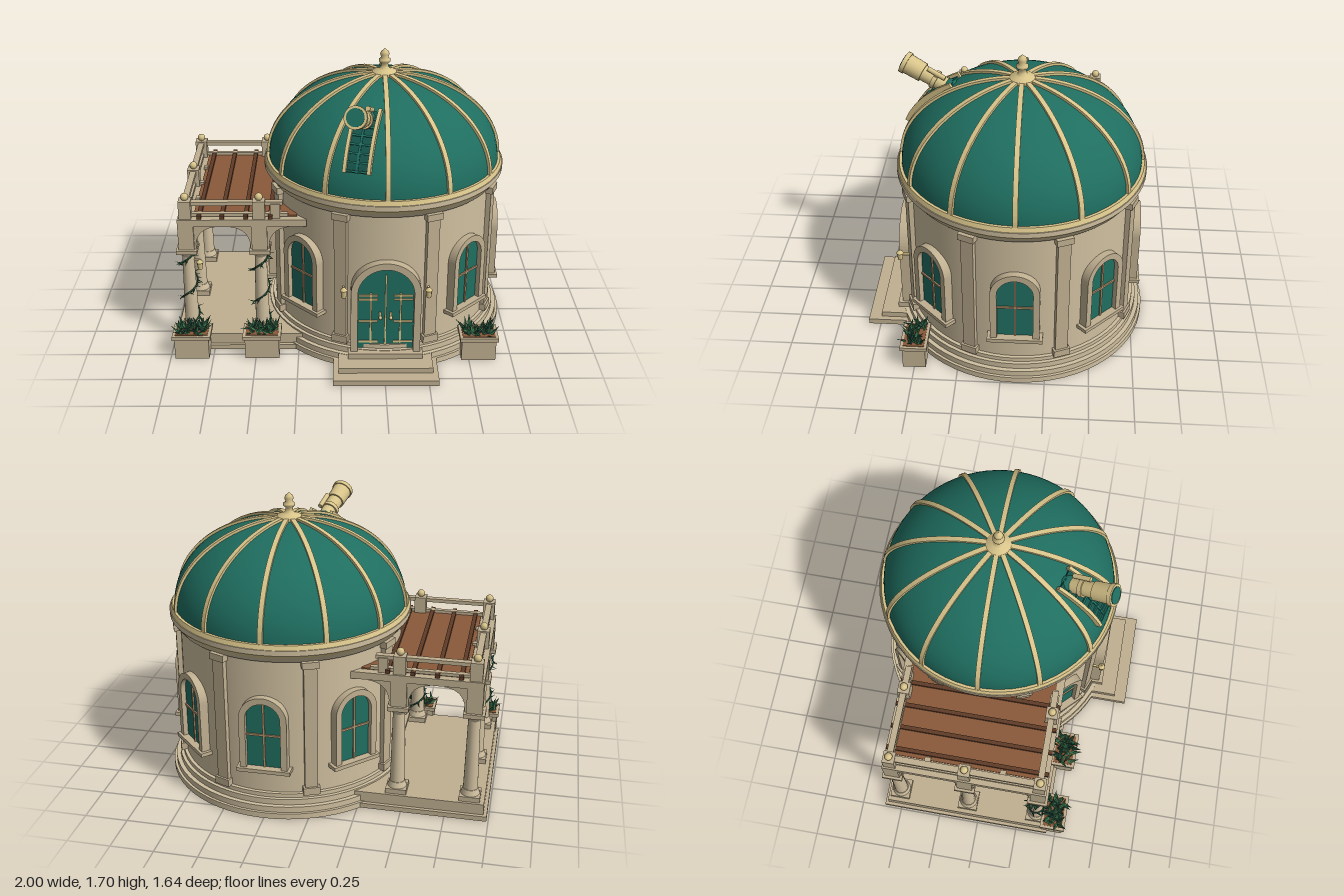
import * as THREE from 'three';

const mat = (name, color, side = THREE.FrontSide) => {
  const m = new THREE.MeshStandardMaterial({ color, side });
  m.name = name;
  return m;
};
const CX = 0.255, CZ = -0.08; // tower axis

export function createModel() {
  const stone = mat('wallStone', 0xcfbf9f), trim = mat('trimStone', 0xc0b091), gold = mat('paleGold', 0xd8c48a);
  const teal = mat('teal', 0x1f6e60), darkTeal = mat('darkTeal', 0x15544b), wood = mat('wood', 0x8a5a3a);
  const darkWood = mat('darkWood', 0x5f3b28), bronze = mat('bronze', 0xb4946e);
  const leaf = mat('leafGreen', 0x418258), darkLeaf = mat('darkLeafGreen', 0x2b5a45);
  const root = new THREE.Group();
  root.name = 'observatory';

  let seed = 7;
  const rnd = () => (seed = (seed * 16807) % 2147483647) / 2147483647;
  const group = (name, parent = root, x = 0, y = 0, z = 0, ry = 0) => {
    const g = new THREE.Group();
    g.name = name;
    g.position.set(x, y, z);
    g.rotation.y = ry;
    parent.add(g);
    return g;
  };
  const add = (p, name, geo, m, x = 0, y = 0, z = 0) => {
    const o = new THREE.Mesh(geo, m);
    o.name = name;
    o.position.set(x, y, z);
    p.add(o);
    return o;
  };
  // box given by its min and max corners
  const box = (p, name, m, x0, x1, y0, y1, z0, z1) =>
    add(p, name, new THREE.BoxGeometry(x1 - x0, y1 - y0, z1 - z0), m, (x0 + x1) / 2, (y0 + y1) / 2, (z0 + z1) / 2);
  const cyl = (p, name, m, r0, r1, y0, y1, x = 0, z = 0, n = 20) =>
    add(p, name, new THREE.CylinderGeometry(r1, r0, y1 - y0, n), m, x, (y0 + y1) / 2, z);
  const lathe = (p, name, m, pts, n = 64) =>
    add(p, name, new THREE.LatheGeometry(pts.map(q => new THREE.Vector2(...q)), n), m);
  const extrude = (shape, depth) =>
    new THREE.ExtrudeGeometry(shape, { depth, bevelEnabled: false, curveSegments: 16 });
  // round-headed opening: half width w, bottom y0, springing y1
  const arch = (C, w, y0, y1) => {
    const s = new C();
    s.moveTo(-w, y0);
    s.lineTo(w, y0);
    s.lineTo(w, y1);
    s.absarc(0, y1, w, 0, Math.PI, false);
    s.lineTo(-w, y0);
    return s;
  };

  // --- Tower body ---
  const tower = group('tower', root, CX, 0, CZ);
  const tiers = [[0.74, 0, 0.035], [0.725, 0.035, 0.07], [0.7, 0.07, 0.105], [0.68, 0.105, 0.13]];
  tiers.forEach(([r, a, b]) => cyl(tower, 'plinthTier', stone, r, r, a, b, 0, 0, 64));
  cyl(tower, 'wall', stone, 0.66, 0.655, 0.13, 0.98, 0, 0, 64);
  cyl(tower, 'corniceNeck', stone, 0.67, 0.695, 0.95, 0.985, 0, 0, 64);
  cyl(tower, 'cornice', gold, 0.695, 0.71, 0.985, 1.005, 0, 0, 64);
  cyl(tower, 'corniceBand', stone, 0.71, 0.71, 1.005, 1.035, 0, 0, 64);
  cyl(tower, 'domeRing', gold, 0.705, 0.695, 1.035, 1.06, 0, 0, 64);

  for (let i = 0; i < 8; i++) {
    const a = i * Math.PI / 4;
    const p = group('pilaster', tower, 0, 0, 0, a + Math.PI / 8);
    box(p, 'pilasterShaft', trim, -0.037, 0.037, 0.13, 0.95, 0.63, 0.683);
    box(p, 'pilasterBase', trim, -0.048, 0.048, 0.125, 0.17, 0.63, 0.695);
    box(p, 'pilasterCapital', trim, -0.048, 0.048, 0.915, 0.955, 0.63, 0.695);
    if (i === 0) continue;
    const w = group('window', tower, 0, 0, 0, a);
    const s = arch(THREE.Shape, 0.137, 0.28, 0.6);
    s.holes.push(arch(THREE.Path, 0.1, 0.29, 0.6));
    add(w, 'windowFrame', extrude(s, 0.075), trim, 0, 0, 0.62);
    add(w, 'windowGlass', extrude(arch(THREE.Shape, 0.102, 0.285, 0.6), 0.006), teal, 0, 0, 0.66);
    box(w, 'windowSill', trim, -0.155, 0.155, 0.272, 0.295, 0.62, 0.71);
    box(w, 'windowMullion', bronze, -0.006, 0.006, 0.29, 0.7, 0.662, 0.674);
    box(w, 'windowBar', bronze, -0.1, 0.1, 0.49, 0.502, 0.662, 0.674);
  }

  // --- Entrance ---
  const door = group('entrance', tower);
  const ds = arch(THREE.Shape, 0.2, 0.1, 0.48);
  ds.holes.push(arch(THREE.Path, 0.16, 0.102, 0.48));
  add(door, 'doorFrame', extrude(ds, 0.105), trim, 0, 0, 0.6);
  add(door, 'doorLeaves', extrude(arch(THREE.Shape, 0.162, 0.102, 0.48), 0.008), teal, 0, 0, 0.66);
  box(door, 'doorSeam', gold, -0.005, 0.005, 0.12, 0.59, 0.665, 0.675);
  for (const s of [-1, 1]) {
    const bar = (x, y, w, h) => add(door, 'doorStrap', new THREE.BoxGeometry(w, h, 0.008), gold, s * x, y, 0.671);
    bar(0.085, 0.305, 0.01, 0.33);
    [0.455, 0.43, 0.285, 0.15].forEach(y => bar(0.1, y, 0.11, 0.011));
    bar(0.03, 0.32, 0.014, 0.05);
    add(door, 'doorKnob', new THREE.SphereGeometry(0.011, 10, 8), gold, s * 0.03, 0.315, 0.683);
    // wall lanterns beside the door
    const l = group('wallLantern', door, s * 0.24, 0.49, 0.66);
    cyl(l, 'lanternBody', gold, 0.014, 0.018, -0.03, 0.015, 0, 0.035, 8);
    cyl(l, 'lanternCap', gold, 0.022, 0.004, 0.015, 0.035, 0, 0.035, 8);
    box(l, 'lanternArm', gold, -0.006, 0.006, 0, 0.012, -0.06, 0.035);
  }
  [[0.3, 0.82, 0.035], [0.27, 0.745, 0.068], [0.215, 0.65, 0.102]].forEach(([w, z, y]) =>
    box(root, 'entranceStep', trim, CX - w, CX + w, y - 0.034, y, 0.4, z));

  // --- Dome with ribs ---
  const RA = 0.68, RB = 0.5, Y0 = 1.05;
  const ell = (t, o) => [(RA + o) * Math.cos(t), Y0 + (RB + o) * Math.sin(t)];
  const profile = [];
  for (let i = 0; i <= 24; i++) profile.push(ell(i / 24 * Math.PI / 2, 0));
  profile[24][0] = 0.0001;
  lathe(tower, 'dome', teal, profile);
  // curved strip lying on the dome
  const strip = (p, name, m, t0, t1, o0, o1, width, off = 0) => {
    const pts = [], n = 20;
    for (let i = 0; i <= n; i++) pts.push(new THREE.Vector2(...ell(t0 + (t1 - t0) * i / n, o1)));
    for (let i = n; i >= 0; i--) pts.push(new THREE.Vector2(...ell(t0 + (t1 - t0) * i / n, o0)));
    return add(p, name, extrude(new THREE.Shape(pts), width), m, 0, 0, off - width / 2);
  };
  for (let i = 0; i < 12; i++)
    strip(group('ribArm', tower, 0, 0, 0, i * Math.PI / 6), 'domeRib', gold, 0, 1.52, -0.02, 0.014, 0.028);
  lathe(tower, 'finial', gold, [[0.075, 1.545], [0.07, 1.565], [0.035, 1.575], [0.022, 1.59], [0.02, 1.61], [0.034, 1.622],
    [0.034, 1.635], [0.02, 1.645], [0.027, 1.665], [0.022, 1.68], [0.01, 1.69], [0.0001, 1.7]], 20);

  // --- Observation slot and telescope ---
  const SA = -Math.PI / 12;
  const slot = group('observationSlot', tower, 0, 0, 0, SA - Math.PI / 2);
  strip(slot, 'slotPanel', darkTeal, 0.3, 0.95, -0.03, 0.01, 0.13);
  for (const s of [-1, 1]) strip(slot, 'slotRail', gold, 0.3, 0.97, -0.03, 0.028, 0.02, s * 0.068);
  for (let i = 0; i < 7; i++) strip(slot, 'slotRung', teal, 0.31 + i * 0.09, 0.33 + i * 0.09, 0, 0.02, 0.125);
  strip(slot, 'slotSpine', teal, 0.3, 0.95, 0, 0.017, 0.012);
  const aim = group('telescopeMount', tower, 0, 0, 0, SA);
  const scope = group('telescope', aim, 0, 1.41, 0.41);
  scope.rotation.x = Math.PI / 2 - 0.42;
  cyl(scope, 'telescopeTube', gold, 0.042, 0.046, -0.06, 0.2);
  cyl(scope, 'telescopeCollar', gold, 0.054, 0.054, 0.1, 0.125);
  cyl(scope, 'telescopeBarrel', gold, 0.055, 0.058, 0.19, 0.3);
  cyl(scope, 'telescopeRim', gold, 0.064, 0.064, 0.29, 0.315);
  cyl(scope, 'telescopeLens', teal, 0.05, 0.05, 0.3, 0.319);
  cyl(scope, 'finderTube', gold, 0.014, 0.014, 0.06, 0.17, 0.03, -0.06, 12);
  box(scope, 'finderBracket', gold, 0.02, 0.036, 0.1, 0.12, -0.06, -0.02);
  add(aim, 'telescopePivot', new THREE.SphereGeometry(0.06, 16, 12), teal, 0, 1.41, 0.42);

  // --- Terrace and pergola ---
  const terrace = group('terrace');
  box(terrace, 'terraceBase', trim, -0.99, 0, 0, 0.03, -0.605, 0.445);
  box(terrace, 'terraceFloor', trim, -0.97, 0, 0.03, 0.095, -0.585, 0.425);
  const pergola = group('pergola');
  const bs = new THREE.Shape();
  bs.moveTo(0, 0);
  bs.lineTo(0.055, 0);
  bs.lineTo(0.055, 0.04);
  bs.quadraticCurveTo(0.07, 0.135, 0.17, 0.145);
  bs.lineTo(0.17, 0.16);
  bs.lineTo(0, 0.16);
  const bracketGeo = extrude(bs, 0.06).translate(0, 0, -0.03);
  const XL = -0.885, XR = -0.465, ZB = -0.51, ZM = -0.075, ZF = 0.36, H = Math.PI / 2;
  // column positions with the directions of their brackets
  const columns = [[XL, ZB, [0, 3]], [XL, ZM, [1, 3]], [XL, ZF, [0, 1]], [XR, ZB, [0, 2]], [XR, ZF, [0, 2]]];
  columns.forEach(([x, z, dirs]) => {
    const c = group('column', pergola, x, 0, z);
    box(c, 'columnFoot', trim, -0.06, 0.06, 0.09, 0.125, -0.06, 0.06);
    cyl(c, 'columnBase', stone, 0.055, 0.045, 0.125, 0.16);
    cyl(c, 'columnShaft', stone, 0.042, 0.034, 0.16, 0.6);
    cyl(c, 'columnNeck', stone, 0.036, 0.055, 0.595, 0.63);
    box(c, 'columnCapital', trim, -0.06, 0.06, 0.625, 0.65, -0.06, 0.06);
    box(c, 'columnBlock', trim, -0.045, 0.045, 0.65, 0.805, -0.045, 0.045);
    dirs.forEach(d => { add(c, 'archBracket', bracketGeo, trim, 0, 0.645, 0).rotation.y = d * H; });
    box(c, 'railPost', trim, -0.035, 0.035, 0.835, 0.95, -0.035, 0.035);
    add(c, 'postBall', new THREE.SphereGeometry(0.023, 14, 10), gold, 0, 0.968, 0);
  });
  for (const z of [ZB, ZF]) {
    box(pergola, 'sideBeam', trim, -0.93, -0.195, 0.8, 0.842, z - 0.045, z + 0.045);
    box(pergola, 'topRail', trim, XL, -0.33, 0.92, 0.942, z - 0.018, z + 0.018);
    box(pergola, 'lowRail', trim, XL, -0.3, 0.85, 0.868, z - 0.014, z + 0.014);
    box(pergola, 'endPost', trim, -0.4, -0.345, 0.84, 0.93, z - 0.025, z + 0.025);
  }
  box(pergola, 'outerBeam', trim, -0.93, -0.835, 0.8, 0.842, ZB, ZF);
  box(pergola, 'outerTopRail', trim, XL - 0.018, XL + 0.018, 0.92, 0.942, ZB, ZF);
  box(pergola, 'outerLowRail', trim, XL - 0.014, XL + 0.014, 0.85, 0.868, ZB, ZF);
  box(pergola, 'roofDeck', wood, -0.84, -0.25, 0.82, 0.85, ZB, ZF);
  [-0.805, -0.675, -0.54, -0.4].forEach(x => box(pergola, 'roofBeam', darkWood, x - 0.012, x + 0.012, 0.845, 0.866, ZB - 0.04, ZF + 0.04));
  [-0.3, ZM, 0.14].forEach(z => box(pergola, 'beamStub', trim, -0.85, -0.825, 0.84, 0.862, z - 0.018, z + 0.018));
  const lamp = group('hangingLantern', pergola, -0.82, 0.53, ZF);
  cyl(lamp, 'lanternBody', gold, 0.013, 0.018, -0.03, 0.015, 0, 0, 8);
  cyl(lamp, 'lanternCap', gold, 0.022, 0.004, 0.015, 0.035, 0, 0, 8);
  box(lamp, 'lanternArm', gold, -0.04, 0.005, 0.03, 0.038, -0.004, 0.004);

  // --- Plants ---
  const leafGeo = new THREE.ConeGeometry(0.014, 0.075, 4).translate(0, 0.037, 0).scale(1, 1, 0.4);
  const sprig = (p, name, x, y, z, tilt, yaw, scale) => {
    const o = add(p, name, leafGeo, rnd() < 0.5 ? leaf : darkLeaf, x, y, z);
    o.rotation.set(tilt, yaw, 0, 'YXZ');
    o.scale.setScalar(scale);
  };
  [[-0.873, 0.475], [-0.462, 0.475], [0.805, 0.5]].forEach(([x, z]) => {
    const p = group('planter', root, x, 0, z);
    box(p, 'planterBody', trim, -0.1, 0.1, 0, 0.135, -0.066, 0.066);
    box(p, 'planterRim', trim, -0.112, 0.112, 0.13, 0.153, -0.077, 0.077);
    box(p, 'planterSoil', wood, -0.095, 0.095, 0.15, 0.157, -0.06, 0.06);
    for (let i = 0; i < 60; i++)
      sprig(p, 'planterLeaf', (rnd() - 0.5) * 0.16, 0.15, (rnd() - 0.5) * 0.09, 0.25 + rnd() * 0.95, rnd() * 6.28, 0.8 + rnd() * 0.4);
  });
  // vines winding up the front columns
  [XL, XR].forEach((x, k) => {
    const v = group('vine', pergola, x, 0, ZF);
    const pts = [];
    for (let i = 0; i <= 40; i++) {
      const a = i * 0.33 + k;
      pts.push(new THREE.Vector3(Math.sin(a) * 0.046, 0.15 + i * 0.0115, Math.cos(a) * 0.046));
      if (i % 2 || i > 20) sprig(v, 'vineLeaf', pts[i].x, pts[i].y, pts[i].z, 1 + rnd() * 1.2, a + (rnd() - 0.5) * 2, 0.55);
    }
    add(v, 'vineStem', new THREE.TubeGeometry(new THREE.CatmullRomCurve3(pts), 80, 0.005, 5), darkLeaf);
  });
  return root;
}
